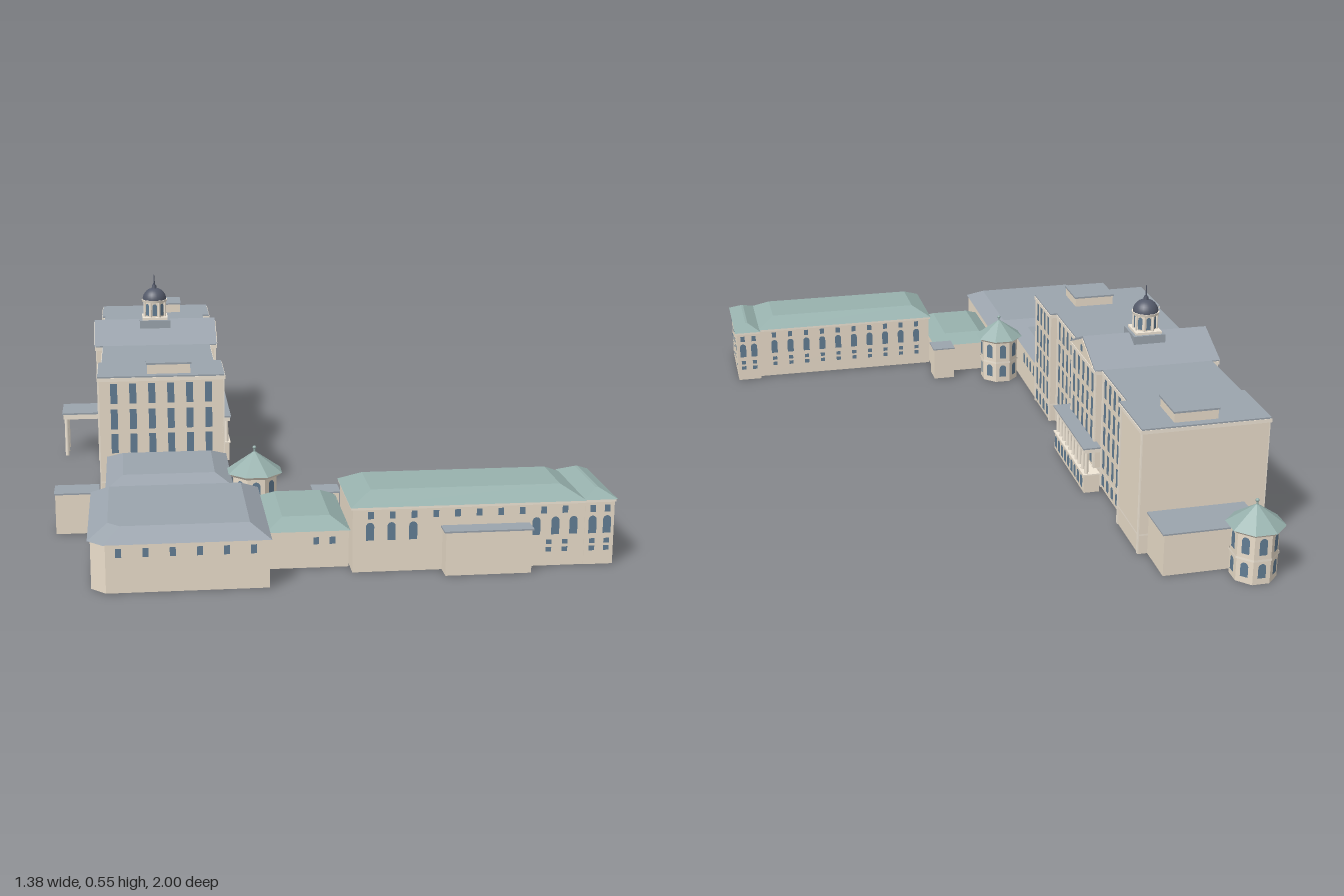
import * as THREE from 'three';
import { mergeGeometries } from 'three/addons/utils/BufferGeometryUtils.js';

const mat = (color, extra = {}) => {
  const m = new THREE.MeshStandardMaterial(extra);
  m.color.set(color);
  return m;
};

export function createModel() {
  const root = new THREE.Group();
  const shell = { flatShading: true, side: THREE.DoubleSide };
  const wall = mat(0xeaddca, shell), trim = mat(0xf0e6d6), trimShell = mat(0xf0e6d6, shell);
  const slate = mat(0x9ba4ad), copper = mat(0x97b1ad), flatCopper = mat(0x97b1ad, { flatShading: true });
  const glass = mat(0x637e94), dome = mat(0x545a6a);

  const add = (name, geo, material, x = 0, y = 0, z = 0) => {
    const m = new THREE.Mesh(geo, material);
    m.name = name;
    m.position.set(x, y, z);
    root.add(m);
    return m;
  };
  // Solid box given by its limits
  const block = (name, x0, x1, y0, y1, z0, z1, material = trim) =>
    add(name, new THREE.BoxGeometry(x1 - x0, y1 - y0, z1 - z0), material, (x0 + x1) / 2, (y0 + y1) / 2, (z0 + z1) / 2);

  // Sides between a lower and an upper outline, closed at top and bottom if capped
  const loft = (name, low, yLow, high, yHigh, material, capped) => {
    const p = [], n = low.length;
    const v = (q, y) => p.push(q[0], y, q[1]);
    for (let i = 0; i < n; i++) {
      const j = (i + 1) % n;
      v(low[i], yLow); v(low[j], yLow); v(high[j], yHigh);
      v(low[i], yLow); v(high[j], yHigh); v(high[i], yHigh);
      if (capped && i > 0 && i < n - 1) {
        v(high[0], yHigh); v(high[i], yHigh); v(high[j], yHigh);
        v(low[0], yLow); v(low[j], yLow); v(low[i], yLow);
      }
    }
    const g = new THREE.BufferGeometry();
    g.setAttribute('position', new THREE.Float32BufferAttribute(p, 3));
    g.computeVertexNormals();
    return add(name, g, material);
  };
  // Rectangle outline, optionally with a cut front corner
  const outline = (x0, x1, z0, z1, cut = 0) => cut
    ? [[x0, z0], [x0, z1 - cut], [x0 + cut, z1], [x1, z1], [x1, z0]]
    : [[x0, z0], [x0, z1], [x1, z1], [x1, z0]];
  // Hollow walls, open above and below
  const walls = (name, x0, x1, y0, y1, z0, z1, material = wall, cut = 0) => {
    const o = outline(x0, x1, z0, z1, cut);
    return loft(name, o, y0, o, y1, material, false);
  };
  const hip = (name, x0, x1, z0, z1, y0, y1, ix, iz, material, cut = 0) =>
    loft(name, outline(x0, x1, z0, z1, cut), y0, outline(x0 + ix, x1 - ix, z0 + iz, z1 - iz, cut * 0.8), y1, material, true);

  // One window pane, flat or round-headed
  const pane = (w, h, arched) => {
    const s = new THREE.Shape();
    s.moveTo(-w / 2, 0);
    s.lineTo(w / 2, 0);
    s.lineTo(w / 2, arched ? h - w / 2 : h);
    if (arched) s.absarc(0, h - w / 2, w / 2, 0, Math.PI, false);
    else s.lineTo(-w / 2, h);
    return new THREE.ShapeGeometry(s, 5);
  };
  // Rows of windows on a wall centred at (x, z) and turned by ry; row = [y, width, height, arched]
  const windows = (name, x, z, ry, us, rows) => {
    const gs = [];
    for (const [y, w, h, arched] of rows)
      for (const u of us) gs.push(pane(w, h, arched).translate(u, y, 0.002));
    add(name, mergeGeometries(gs), glass, x, 0, z).rotation.y = ry;
  };
  const spread = (n, width) => Array.from({ length: n }, (_, i) => (i - (n - 1) / 2) * width / n);
  const S = 0, E = Math.PI / 2, N = Math.PI, W = -Math.PI / 2;

  // Main range: two end pavilions, two wings and the centre
  const tall = [[0.278, 0.019, 0.056], [0.206, 0.019, 0.056], [0.138, 0.019, 0.055], [0.066, 0.019, 0.056]];
  const base = [[0.012, 0.022, 0.036, true]];
  const sections = [
    ['northPavilion', -0.567, -0.228, -0.767, -0.585, 4],
    ['northWing', -0.558, -0.249, -0.585, -0.36, 5],
    ['centreBlock', -0.58, -0.229, -0.36, -0.12, 5],
    ['southWing', -0.558, -0.249, -0.12, 0.11, 5],
    ['southPavilion', -0.567, -0.228, 0.11, 0.287, 4],
  ];
  for (const [name, x0, x1, z0, z1, n] of sections) {
    const zc = (z0 + z1) / 2, us = spread(n, z1 - z0 - 0.015);
    walls(name, x0, x1, 0, 0.34, z0, z1);
    block(name + 'Cornice', x0 - 0.006, x1 + 0.006, 0.34, 0.35, z0 - 0.003, z1 + 0.003);
    block(name + 'Roof', x0 - 0.004, x1 + 0.004, 0.35, 0.354, z0 - 0.002, z1 + 0.002, slate);
    walls(name + 'StringCourse', x0 - 0.003, x1 + 0.003, 0.053, 0.058, z0 - 0.002, z1 + 0.002, trimShell);
    if (name !== 'northPavilion') windows(name + 'EastWindows', x1, zc, E, us, [...tall, ...base]);
    windows(name + 'WestWindows', x0, zc, W, us, [...tall, ...base]);
    // Corner pilasters
    for (const x of [x0, x1]) for (const z of [z0 + 0.005, z1 - 0.005])
      block(name + 'Pilaster', x - 0.003, x + 0.003, 0, 0.34, z - 0.005, z + 0.005);
  }
  windows('southEndWindows', -0.398, 0.287, S, spread(6, 0.31), tall.slice(0, 3));
  for (const z of [-0.692, 0.21]) {
    walls('rooftopPlantRoom', -0.435, -0.317, 0.354, 0.382, z - 0.055, z + 0.055);
    block('plantRoomRoof', -0.438, -0.314, 0.38, 0.385, z - 0.058, z + 0.058, slate);
  }

  // Gabled roof and pediments of the centre
  const gable = (half, rise, x0, x1) => {
    const s = new THREE.Shape([[-half, 0], [half, 0], [0, rise]].map(p => new THREE.Vector2(...p)));
    return new THREE.ExtrudeGeometry(s, { depth: x1 - x0, bevelEnabled: false }).rotateY(E).translate(x0, 0, 0);
  };
  add('centreGableRoof', gable(0.124, 0.056, -0.587, -0.223), slate, 0, 0.354, -0.24);
  for (const [x, ry] of [[-0.222, E], [-0.588, W]]) {
    add('pediment', gable(0.11, 0.048, x - 0.001, x + 0.001), wall, 0, 0.355, -0.24);
    add('pedimentRoundWindow', new THREE.CircleGeometry(0.011, 16), glass, x + 0.002 * Math.sin(ry), 0.375, -0.24).rotation.y = ry;
  }

  // Cupola
  const cx = -0.405, cz = -0.24;
  walls('cupolaBase', cx - 0.046, cx + 0.046, 0.385, 0.412, cz - 0.046, cz + 0.046, mat(0x9ba4ad, shell));
  block('cupolaDeck', cx - 0.046, cx + 0.046, 0.41, 0.413, cz - 0.046, cz + 0.046, slate);
  block('cupolaPlinth', cx - 0.038, cx + 0.038, 0.413, 0.42, cz - 0.038, cz + 0.038);
  add('cupolaDrum', new THREE.CylinderGeometry(0.031, 0.031, 0.05, 8, 1, true).rotateY(Math.PI / 8), wall, cx, 0.443, cz);
  for (let i = 0; i < 8; i++) {
    const a = i * Math.PI / 4, b = a + Math.PI / 8;
    windows('cupolaWindow', cx + 0.0288 * Math.sin(a), cz + 0.0288 * Math.cos(a), a, [0], [[0.424, 0.013, 0.036, true]]);
    add('cupolaColumn', new THREE.CylinderGeometry(0.0035, 0.0035, 0.048, 8), trim, cx + 0.033 * Math.sin(b), 0.443, cz + 0.033 * Math.cos(b));
  }
  add('cupolaCornice', new THREE.CylinderGeometry(0.039, 0.037, 0.007, 24), trim, cx, 0.468, cz);
  add('cupolaDome', new THREE.SphereGeometry(0.036, 24, 10, 0, Math.PI * 2, 0, Math.PI / 2), dome, cx, 0.47, cz);
  add('domeCap', new THREE.CylinderGeometry(0.006, 0.008, 0.012, 12), dome, cx, 0.509, cz);
  add('spire', new THREE.CylinderGeometry(0.0008, 0.003, 0.034, 8), dome, cx, 0.53, cz);

  // East portico: base, colonnade and balcony roof
  walls('porticoBase', -0.235, -0.19, 0, 0.053, -0.395, -0.087);
  block('porticoFloor', -0.235, -0.187, 0.053, 0.057, -0.398, -0.084);
  windows('porticoArches', -0.19, -0.241, E, spread(9, 0.3), base);
  for (let i = 0; i < 10; i++)
    add('porticoColumn', new THREE.CylinderGeometry(0.005, 0.006, 0.068, 10), trim, -0.198, 0.09, -0.387 + i * 0.0324);
  block('porticoEntablature', -0.235, -0.188, 0.122, 0.134, -0.397, -0.085);
  block('porticoRoof', -0.235, -0.185, 0.134, 0.138, -0.4, -0.083, slate);

  // West entrance canopy on posts
  block('canopyBeam', -0.689, -0.58, 0.115, 0.13, -0.294, -0.18);
  block('canopyRoof', -0.692, -0.58, 0.13, 0.135, -0.297, -0.177, slate);
  for (const z of [-0.285, -0.237, -0.189])
    add('canopyPost', new THREE.CylinderGeometry(0.006, 0.006, 0.118, 10), trim, -0.68, 0.059, z);

  // North annexe
  walls('northAnnexe', -0.508, -0.252, 0, 0.116, -0.89, -0.765);
  block('northAnnexeRoof', -0.512, -0.247, 0.116, 0.12, -0.895, -0.765, slate);

  // Octagonal towers
  for (const [x, z] of [[-0.477, -0.928], [-0.161, 0.513]]) {
    const oct = (r0, r1, h, open) => new THREE.CylinderGeometry(r1, r0, h, 8, 1, open).rotateY(Math.PI / 8);
    add('octagonTower', oct(0.06, 0.06, 0.14, true), wall, x, 0.07, z);
    add('octagonBand', oct(0.063, 0.063, 0.006, true), trimShell, x, 0.068, z);
    add('octagonEaves', oct(0.066, 0.074, 0.008, true), trimShell, x, 0.14, z);
    add('octagonRoof', oct(0.076, 0.003, 0.052), flatCopper, x, 0.17, z);
    add('finialStem', new THREE.CylinderGeometry(0.002, 0.003, 0.016, 8), copper, x, 0.2, z);
    add('finialBall', new THREE.SphereGeometry(0.005, 10, 8), copper, x, 0.207, z);
    for (let i = 0; i < 8; i++) {
      const a = i * Math.PI / 4, r = 0.0555;
      windows('octagonWindows', x + r * Math.sin(a), z + r * Math.cos(a), a, [0], [[0.082, 0.021, 0.046, true], [0.018, 0.021, 0.04, true]]);
    }
  }

  // Low connecting range
  walls('connector', -0.543, -0.23, 0, 0.13, 0.287, 0.59);
  hip('connectorRoof', -0.55, -0.222, 0.287, 0.594, 0.128, 0.152, 0.045, 0.05, slate);
  windows('connectorEastWindows', -0.23, 0.375, E, spread(4, 0.16), [[0.07, 0.016, 0.035, true]]);
  windows('connectorWestWindows', -0.543, 0.385, W, spread(4, 0.17), [[0.07, 0.016, 0.035, true]]);
  walls('westStore', -0.68, -0.57, 0, 0.106, 0.484, 0.554);
  block('westStoreRoof', -0.683, -0.567, 0.106, 0.11, 0.481, 0.557, slate);

  // Southern hall with one cut corner
  walls('southHall', -0.581, -0.163, 0, 0.122, 0.59, 0.992, wall, 0.035);
  hip('southHallRoof', -0.588, -0.158, 0.583, 0.999, 0.12, 0.149, 0.048, 0.05, slate, 0.036);
  windows('hallSouthWindows', -0.358, 0.992, S, spread(6, 0.378), [[0.087, 0.014, 0.022]]);
  windows('hallWestWindows', -0.581, 0.775, W, spread(5, 0.33), [[0.087, 0.014, 0.022]]);

  // Low link to the east wing
  walls('link', -0.163, 0.04, 0, 0.097, 0.59, 0.869);
  hip('linkRoof', -0.164, 0.043, 0.582, 0.878, 0.095, 0.121, 0.045, 0.045, copper);
  windows('linkSouthWindows', -0.02, 0.869, S, [-0.02, 0.02], [[0.06, 0.014, 0.018]]);
  walls('stairBox', -0.012, 0.053, 0, 0.101, 0.532, 0.594);
  block('stairBoxRoof', -0.015, 0.056, 0.101, 0.105, 0.529, 0.597, slate);

  // East wing and its end pavilion
  walls('eastWing', 0.043, 0.613, 0, 0.165, 0.683, 0.913);
  walls('eastWingCornice', 0.039, 0.612, 0.158, 0.166, 0.678, 0.918, trimShell);
  hip('eastWingRoof', 0.037, 0.615, 0.675, 0.922, 0.165, 0.195, 0.055, 0.05, copper);
  walls('eastPavilion', 0.613, 0.686, 0, 0.166, 0.664, 0.915);
  walls('eastPavilionCornice', 0.611, 0.689, 0.159, 0.167, 0.661, 0.918, trimShell);
  hip('eastPavilionRoof', 0.609, 0.692, 0.657, 0.921, 0.166, 0.186, 0.038, 0.04, copper);
  const upper = [0.134, 0.014, 0.018], arch = [0.08, 0.02, 0.045, true];
  const small = [[0.055, 0.014, 0.012], [0.036, 0.014, 0.012]];
  for (const [side, z, ry] of [['South', 0.913, S], ['North', 0.683, N]]) {
    const us = side === 'South' ? [-0.24, -0.188, -0.135, 0.168, 0.215, 0.26] : spread(10, 0.53);
    windows('eastWing' + side + 'UpperWindows', 0.325, z, ry, spread(10, 0.53), [upper]);
    windows('eastWing' + side + 'Arches', 0.325, z, ry, us, [arch]);
    windows('eastWing' + side + 'LowWindows', 0.325, z, ry, side === 'South' ? [0.2, 0.24] : us, small);
    windows('eastPavilion' + side + 'Windows', 0.65, side === 'South' ? 0.915 : 0.664, ry, [-0.018, 0.018], [upper, arch, ...small]);
  }
  windows('eastPavilionEndWindows', 0.686, 0.789, E, spread(4, 0.23), [upper, arch, ...small]);
  walls('southPorch', 0.262, 0.472, 0, 0.108, 0.913, 0.959);
  block('southPorchRoof', 0.258, 0.476, 0.108, 0.112, 0.913, 0.962, slate);

  return root;
}
